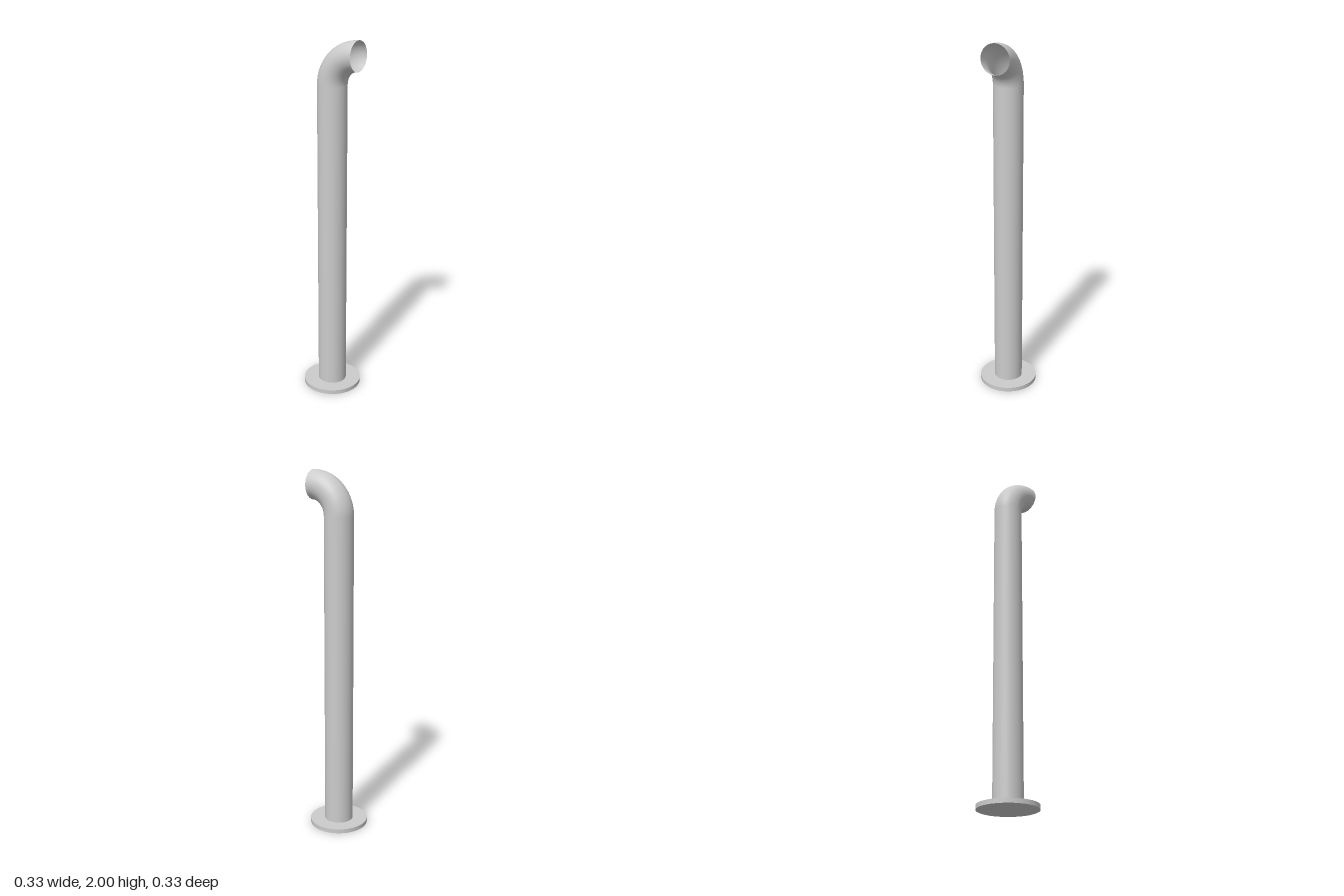
import * as THREE from 'three';

const PIPE_R = 0.08, BEND_R = 0.16, BEND_Y = 1.76;
const BASE_R = 0.163, BASE_H = 0.024;

// Quarter-circle centreline from vertical to horizontal (+x)
class BendCurve extends THREE.Curve {
  getPoint(t, target = new THREE.Vector3()) {
    const a = t * Math.PI / 2;
    return target.set(BEND_R * (1 - Math.cos(a)), BEND_Y + BEND_R * Math.sin(a), 0);
  }
}

export function createModel() {
  const group = new THREE.Group();
  const solid = new THREE.MeshStandardMaterial({ color: 0xcccccc });
  const thin = new THREE.MeshStandardMaterial({ color: 0xcccccc, side: THREE.DoubleSide });

  const add = (name, geometry, material, y = 0) => {
    const mesh = new THREE.Mesh(geometry, material);
    mesh.name = name;
    mesh.position.y = y;
    group.add(mesh);
  };

  // Flat round foot
  add('baseFlange', new THREE.CylinderGeometry(BASE_R, BASE_R, BASE_H, 48), solid, BASE_H / 2);

  // Straight upright pipe
  const length = BEND_Y - BASE_H;
  add('uprightPipe', new THREE.CylinderGeometry(PIPE_R, PIPE_R, length, 48, 1, true), thin, BASE_H + length / 2);

  // Elbow with an open mouth
  add('elbow', new THREE.TubeGeometry(new BendCurve(), 24, PIPE_R, 48, false), thin);

  return group;
}
